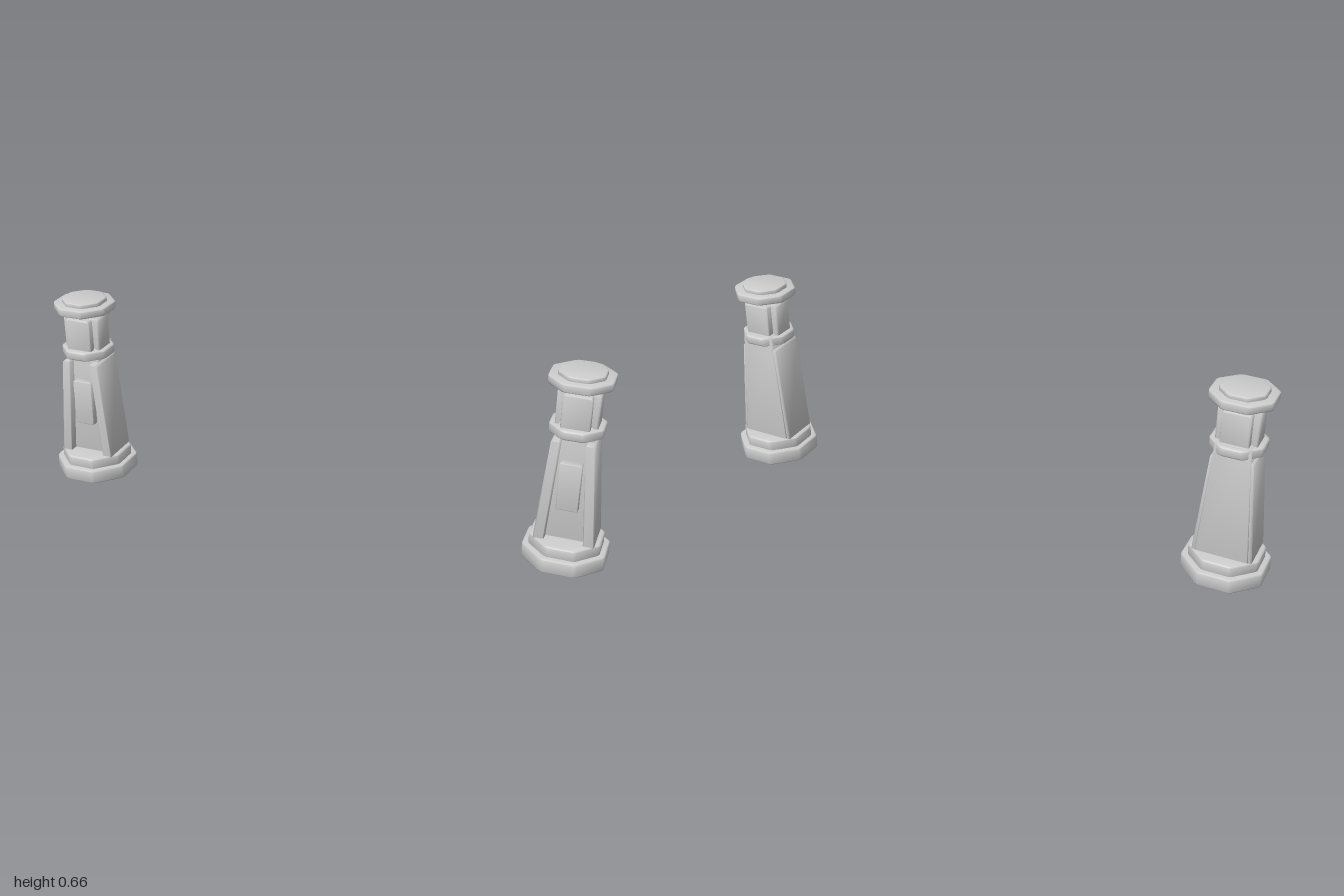
import * as THREE from 'three';
import { toCreasedNormals } from 'three/addons/utils/BufferGeometryUtils.js';

const stone = new THREE.MeshStandardMaterial({ color: 0xcccccc });
stone.name = 'light grey stone';

// Extrudes an outline from z0 to z1 with clipped corners and soft edges
function bevelled(points, z0, z1, b = 0.004) {
  const corners = points.map(([x, y]) => new THREE.Vector2(x, y));
  const n = corners.length;
  const outline = corners.flatMap((p, i) => [corners[(i + n - 1) % n], corners[(i + 1) % n]]
    .map((q) => p.clone().add(q.clone().sub(p).setLength(b * 1.5))));
  const g = new THREE.ExtrudeGeometry(new THREE.Shape(outline), {
    depth: z1 - z0 - 2 * b, bevelEnabled: true, bevelSize: b,
    bevelThickness: b, bevelOffset: -b, bevelSegments: 2,
  });
  g.translate(0, 0, z0 + b);
  return toCreasedNormals(g, 1);
}

function part(group, name, geometry) {
  const mesh = new THREE.Mesh(geometry, stone);
  mesh.name = name;
  group.add(mesh);
}

// Octagonal tier with flats facing the axes; a is the distance to a flat
function tier(group, name, a, y0, y1) {
  const r = a / Math.cos(Math.PI / 8);
  const points = [];
  for (let i = 0; i < 8; i++) {
    const t = (i + 0.5) * Math.PI / 4;
    points.push([r * Math.cos(t), r * Math.sin(t)]);
  }
  part(group, name, bevelled(points, y0, y1).rotateX(-Math.PI / 2));
}

// Upright box centred on the pillar axis
function block(group, name, hx, hz, y0, y1) {
  part(group, name, bevelled([[-hx, y0], [hx, y0], [hx, y1], [-hx, y1]], -hz, hz));
}

function createPillar() {
  const g = new THREE.Group();

  // Stepped foot
  tier(g, 'footTier', 0.134, 0, 0.05);
  tier(g, 'upperFootTier', 0.115, 0.046, 0.086);

  // Tapered shaft, rising through the collar
  part(g, 'shaft', bevelled(
    [[-0.088, 0.08], [0.088, 0.08], [0.057, 0.49], [-0.057, 0.49]], -0.07, 0.042));

  // Leaning slabs on both sides
  for (const s of [-1, 1]) {
    const outline = [[0.063, 0.08], [0.099, 0.08], [0.068, 0.44], [0.038, 0.442]]
      .map(([x, y]) => [s * x, y]);
    if (s < 0) outline.reverse();
    part(g, s > 0 ? 'leftSlab' : 'rightSlab', bevelled(outline, -0.067, 0.07));
  }

  // Raised plate on the front
  part(g, 'frontPanel', bevelled(
    [[-0.035, 0.2], [0.035, 0.2], [0.035, 0.365], [-0.035, 0.365]], 0.03, 0.066, 0.002));

  // Collar and cross-shaped neck
  tier(g, 'collar', 0.085, 0.455, 0.486);
  block(g, 'neckAcross', 0.067, 0.038, 0.475, 0.6);
  block(g, 'neckDeep', 0.046, 0.063, 0.475, 0.598);

  // Floating cap
  tier(g, 'cap', 0.1, 0.62, 0.648);
  tier(g, 'capTop', 0.073, 0.64, 0.662);
  return g;
}

export function createModel() {
  const model = new THREE.Group();
  model.name = 'pillarPair';
  for (const s of [-1, 1]) {
    const pillar = createPillar();
    pillar.name = s > 0 ? 'leftPillar' : 'rightPillar';
    pillar.position.x = s * 0.866;
    model.add(pillar);
  }
  return model;
}
